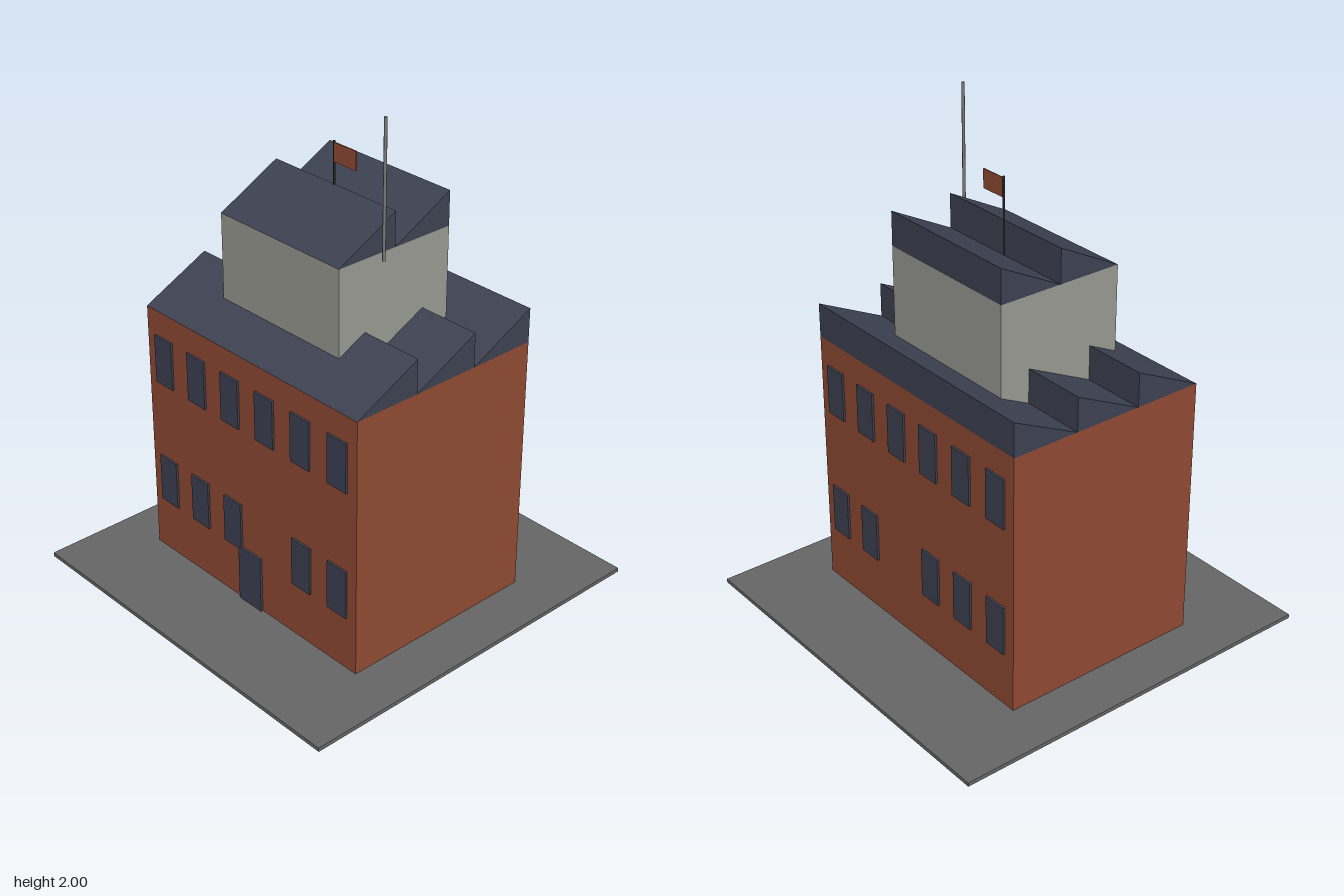
import * as THREE from 'three';

const material = (name, color) => {
  const m = new THREE.MeshStandardMaterial({ color });
  m.name = name;
  return m;
};

export function createModel() {
  const brick = material('brick', 0x8f4a33);
  const slate = material('slate', 0x3d4252);
  const concrete = material('concrete', 0x999993);
  const paving = material('paving', 0x666666);
  const steel = material('steel', 0x7a7a7a);
  const darkMetal = material('darkMetal', 0x2c2c30);

  const model = new THREE.Group();
  model.name = 'factoryBuilding';

  const add = (name, geometry, mat, x = 0, y = 0, z = 0, parent = model) => {
    const mesh = new THREE.Mesh(geometry, mat);
    mesh.name = name;
    mesh.position.set(x, y, z);
    parent.add(mesh);
    return mesh;
  };

  // Box placed by its base height and top height
  const block = (name, w, y0, y1, d, mat, x = 0, z = 0, parent = model) =>
    add(name, new THREE.BoxGeometry(w, y1 - y0, d), mat, x, (y0 + y1) / 2, z, parent);

  // Row of wedges sloping up towards the back, each with an upright rear face
  const sawtoothRoof = (name, width, depth, y, height, count) => {
    const roof = new THREE.Group();
    roof.name = name;
    const d = depth / count;
    const profile = new THREE.Shape();
    profile.moveTo(d / 2, 0);
    profile.lineTo(-d / 2, height);
    profile.lineTo(-d / 2, 0);
    profile.closePath();
    const wedge = new THREE.ExtrudeGeometry(profile, { depth: width, bevelEnabled: false });
    wedge.translate(0, 0, -width / 2).rotateY(-Math.PI / 2);
    for (let i = 0; i < count; i++) {
      add('roofTooth', wedge, slate, 0, y, depth / 2 - d * (i + 0.5), roof);
    }
    model.add(roof);
  };

  const groundTop = 0.016, wallTop = 1.063, towerTop = 1.48;
  const bodyW = 1.148, bodyD = 0.836, towerW = 0.624, towerD = 0.524;

  // Ground slab, main block and upper block
  block('groundSlab', 1.564, 0, groundTop, 1.564, paving);
  block('mainBlock', bodyW, groundTop, wallTop, bodyD, brick);
  sawtoothRoof('mainRoof', bodyW, bodyD, wallTop, 0.136, 3);
  block('upperBlock', towerW, wallTop, towerTop, towerD, concrete);
  sawtoothRoof('upperRoof', towerW, towerD, towerTop, 0.136, 2);

  // Windows on front and back; the lower row skips one bay
  const windows = new THREE.Group();
  windows.name = 'windows';
  model.add(windows);
  for (const side of [1, -1]) {
    for (const [row, y0] of [0.238, 0.762].entries()) {
      for (let i = 0; i < 6; i++) {
        if (row === 0 && i === 3) continue;
        block('window', 0.098, y0, y0 + 0.198, 0.009, slate,
          (i - 2.5) * bodyW / 6, side * (bodyD / 2 + 0.0042), windows);
      }
    }
  }

  // Front door
  block('door', 0.124, groundTop, 0.25, 0.0099, slate, 0, bodyD / 2 + 0.0049);

  // Flag and its pole
  add('flagPole', new THREE.CylinderGeometry(0.004, 0.004, 0.3, 8), darkMetal, 0, 1.63, 0);
  block('flag', 0.112, 1.7, 1.774, 0.005, brick, 0.057, 0);

  // Tall antenna mast
  add('antennaMast', new THREE.CylinderGeometry(0.006, 0.006, 0.52, 8), steel, 0.365, 1.74, 0.105);

  return model;
}
